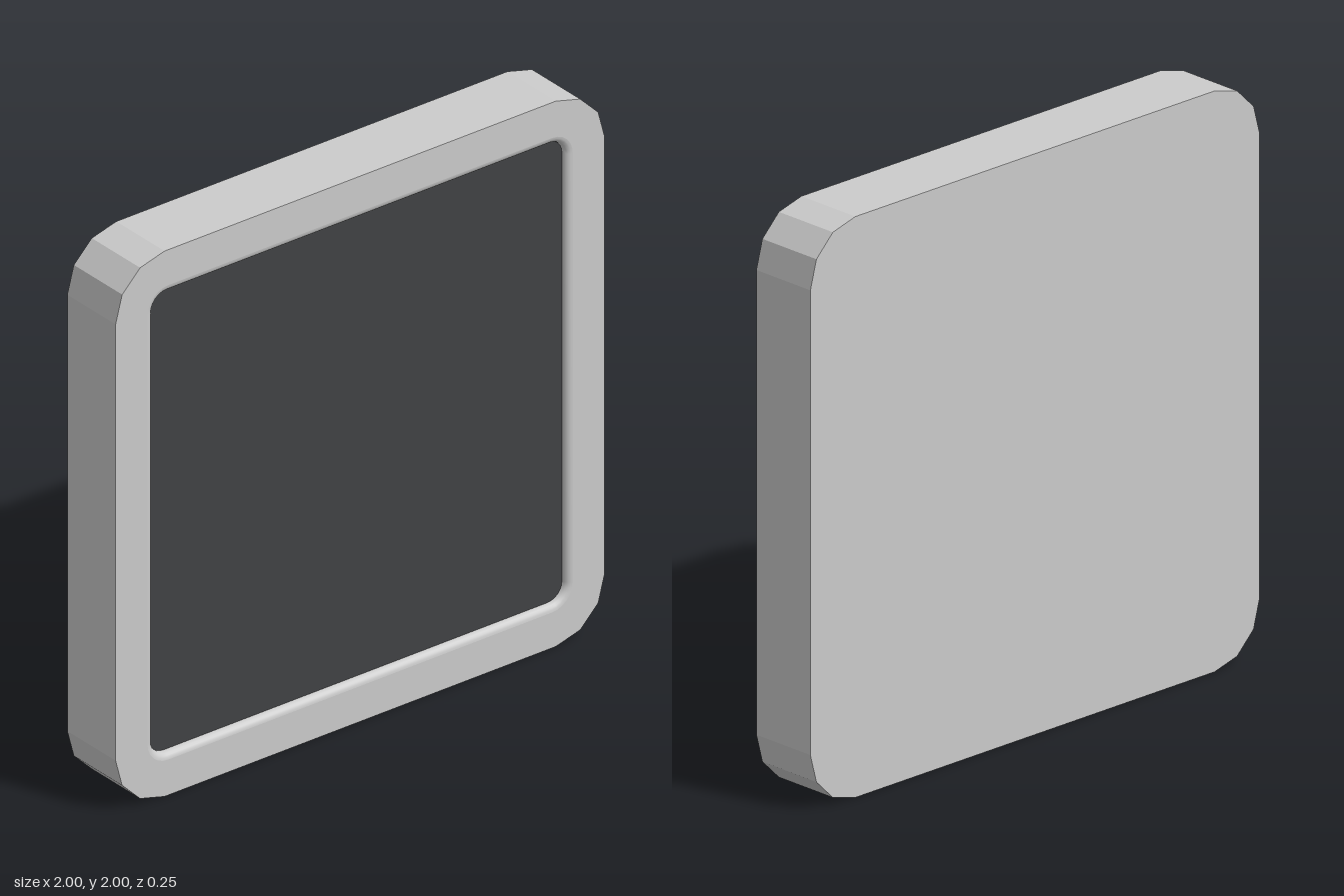
import * as THREE from 'three';

// Points of a rounded square, counter-clockwise from the front
function outline(half, radius, segments) {
  const points = [];
  const c = half - radius;
  [[1, 1], [-1, 1], [-1, -1], [1, -1]].forEach(([sx, sy], corner) => {
    for (let i = 0; i <= segments; i++) {
      const a = (corner + i / segments) * Math.PI / 2;
      points.push(new THREE.Vector2(sx * c + radius * Math.cos(a), sy * c + radius * Math.sin(a)));
    }
  });
  return points;
}

// Flat slab between two depths, with an optional hole
function slab(points, back, front, hole) {
  const shape = new THREE.Shape(points);
  if (hole) shape.holes.push(new THREE.Path(hole));
  return new THREE.ExtrudeGeometry(shape, { depth: front - back, bevelEnabled: false }).translate(0, 0, back);
}

// Rounded inner edge, swept inward and down from the front face
function lipGeometry(half, radius, width, drop, z, segments, steps) {
  const positions = [], index = [];
  const n = 4 * (segments + 1);
  for (let s = 0; s <= steps; s++) {
    const a = s / steps * Math.PI / 2;
    const inset = width * Math.sin(a);
    for (const p of outline(half - inset, radius - inset, segments)) {
      positions.push(p.x, p.y, z - drop * (1 - Math.cos(a)));
    }
  }
  for (let s = 0; s < steps; s++) {
    for (let j = 0; j < n; j++) {
      const a = s * n + j, b = s * n + (j + 1) % n;
      index.push(a, b, b + n, a, b + n, a + n);
    }
  }
  const geometry = new THREE.BufferGeometry();
  geometry.setAttribute('position', new THREE.Float32BufferAttribute(positions, 3));
  geometry.setIndex(index);
  geometry.computeVertexNormals();
  return geometry;
}

export function createModel() {
  const group = new THREE.Group();
  const grey = new THREE.MeshStandardMaterial({ color: 0xcccccc });
  const dark = new THREE.MeshStandardMaterial({ color: 0x414244 });
  const add = (name, geometry, material) => {
    const mesh = new THREE.Mesh(geometry, material);
    mesh.name = name;
    mesh.position.y = 1;
    group.add(mesh);
  };

  const FRONT = 0.125, SEAT = 0.085, SCREEN = 0.1;
  const outer = outline(1, 0.2, 3);
  const opening = outline(0.87, 0.085, 6);

  // Solid casing with a raised rim around the front
  add('casing', slab(outer, -FRONT, SEAT), grey);
  add('rim', slab(outer, SEAT, FRONT, opening), grey);
  add('rimLip', lipGeometry(0.87, 0.085, 0.025, FRONT - SCREEN, FRONT, 6, 5), grey);

  // Recessed dark panel
  add('screen', slab(outline(0.845, 0.06, 6), SEAT, SCREEN), dark);

  return group;
}
